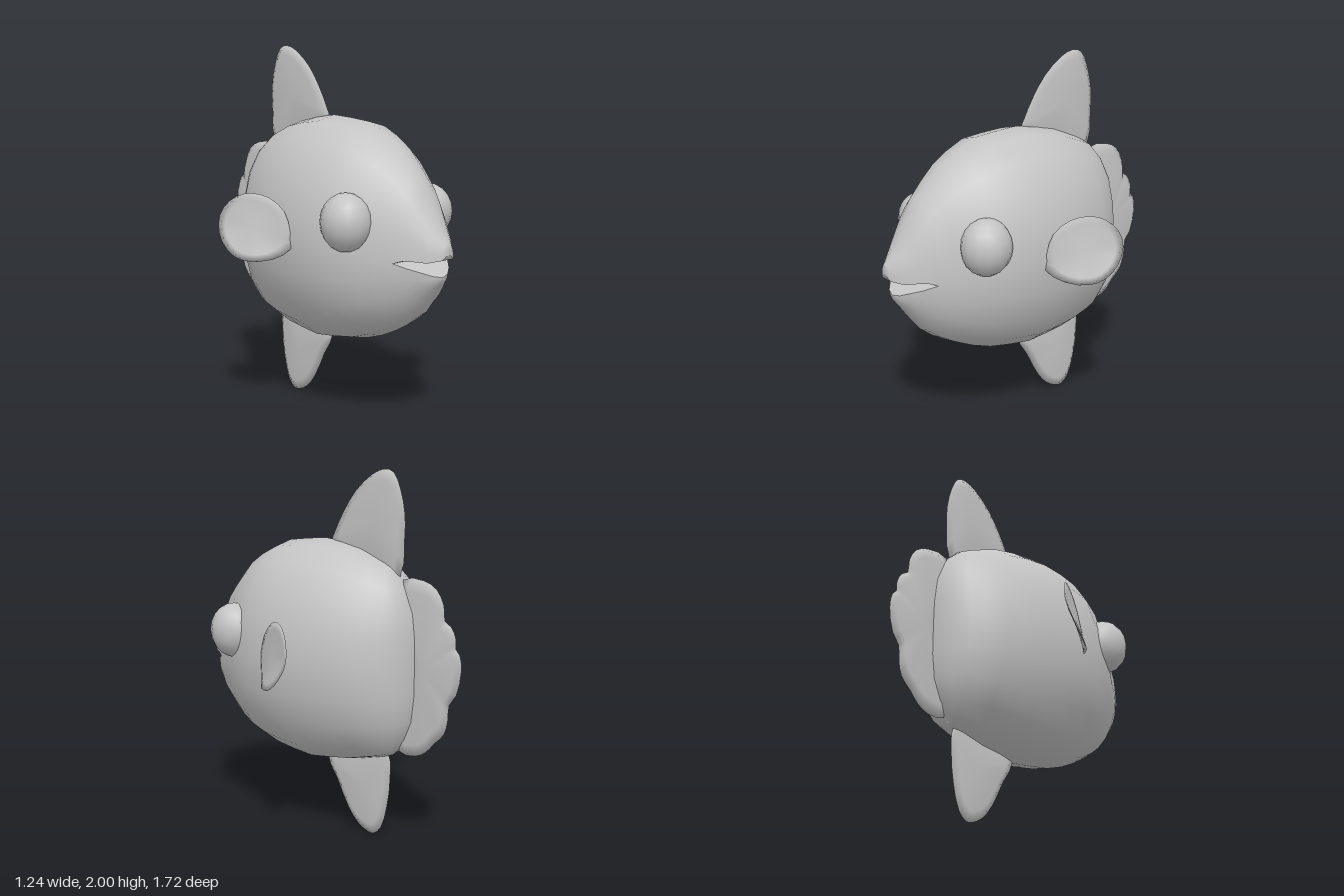
import * as THREE from 'three';
import { mergeVertices, mergeGeometries } from 'three/addons/utils/BufferGeometryUtils.js';

const SEG = 10;

function indexed(points, index) {
  const g = new THREE.BufferGeometry();
  g.setAttribute('position', new THREE.Float32BufferAttribute(points, 3));
  g.setIndex(index);
  return g;
}

// Skin over rows of points, rows running nose to tail
function skin(rows) {
  const n = rows[0].length, index = [];
  for (let i = 0; i < rows.length - 1; i++) {
    for (let j = 0; j < n - 1; j++) {
      const a = i * n + j, b = a + n;
      index.push(a, b, a + 1, b, b + 1, a + 1);
    }
  }
  return indexed(rows.flat(2), index);
}

// Half of an elliptical ring; bulge pulls its crown forward in z
function halfRing(z, mid, width, edge, bulge, from) {
  return Array.from({ length: SEG + 1 }, (_, j) => {
    const t = from + Math.PI * j / SEG, s = Math.sin(t);
    return [width * Math.cos(t), mid + Math.abs(edge - mid) * s, z + bulge * s ** 4];
  });
}

// Flat strip closing the open side of a jaw
function jawPlate(rings) {
  return skin(rings.map(([z, mid, w]) => [[-w, mid, z], [0, mid, z], [w, mid, z]]));
}

// Lens-shaped fin from a side outline of [z, y], thickest inside its rim
function fin(outline, center, half, inset = 0.8) {
  const curve = new THREE.CatmullRomCurve3(
    outline.map(([z, y]) => new THREE.Vector3(0, y, z)), true, 'centripetal');
  const rim = curve.getPoints(outline.length * 2).slice(0, -1);
  const n = rim.length, pts = [], index = [];
  const [cz, cy] = center;
  rim.forEach(p => pts.push(0, p.y, p.z));
  for (const s of [1, -1]) {
    rim.forEach(p => pts.push(s * half, cy + (p.y - cy) * inset, cz + (p.z - cz) * inset));
  }
  pts.push(half, cy, cz, -half, cy, cz);
  for (let i = 0; i < n; i++) {
    const k = (i + 1) % n;
    [n, 2 * n].forEach((o, side) => {
      const c = 3 * n + side;
      const tris = [[k, i, o + i], [k, o + i, o + k], [c, o + k, o + i]];
      tris.forEach(t => index.push(...(side ? t.reverse() : t)));
    });
  }
  const g = indexed(pts, index);
  g.computeVertexNormals();
  return g;
}

export function createModel() {
  const model = new THREE.Group();
  model.name = 'sunfish';
  const skinGrey = new THREE.MeshStandardMaterial({ color: 0xc4c4c4, side: THREE.DoubleSide });
  skinGrey.name = 'skin grey';
  const add = (name, geometry, parent = model) => {
    const mesh = new THREE.Mesh(geometry, skinGrey);
    mesh.name = name;
    parent.add(mesh);
    return mesh;
  };

  // Body stations: z, middle y, half width, top y, bottom y, bulge
  const trunk = [
    [0.66, 0.915, 0.20, 1.335, 0.61, 0],
    [0.58, 0.93, 0.25, 1.42, 0.55, 0],
    [0.50, 0.95, 0.305, 1.49, 0.505, 0],
    [0.40, 0.97, 0.36, 1.55, 0.46, 0],
    [0.29, 0.99, 0.40, 1.60, 0.425, 0],
    [0.16, 1.0, 0.42, 1.615, 0.405, 0],
    [0.03, 1.0, 0.42, 1.625, 0.39, 0],
    [-0.10, 1.0, 0.405, 1.61, 0.405, 0],
    [-0.22, 1.0, 0.375, 1.585, 0.42, 0],
    [-0.34, 0.99, 0.33, 1.545, 0.445, 0.02],
    [-0.42, 0.98, 0.285, 1.52, 0.46, 0.04],
    [-0.50, 0.98, 0.22, 1.50, 0.475, 0.08],
    [-0.55, 0.97, 0.155, 1.485, 0.48, 0.115],
    [-0.58, 0.97, 0.08, 1.475, 0.49, 0.14],
    [-0.59, 0.97, 0, 1.47, 0.49, 0.145],
  ];
  // Jaw stations: z, lip y, half width, outer y
  const upperJaw = [
    [0.86, 0.965, 0, 1.0], [0.85, 0.935, 0.045, 1.02], [0.80, 0.922, 0.10, 1.09],
    [0.74, 0.928, 0.145, 1.20], [0.70, 0.928, 0.175, 1.27],
  ];
  const lowerJaw = [
    [0.82, 0.84, 0, 0.83], [0.805, 0.85, 0.055, 0.80], [0.77, 0.87, 0.105, 0.755],
    [0.72, 0.89, 0.155, 0.685],
  ];
  const upper = skin([
    ...upperJaw.map(([z, m, w, e]) => halfRing(z, m, w, e, 0, 0)),
    ...trunk.map(([z, m, w, t, , b]) => halfRing(z, m, w, t, b, 0)),
  ]);
  const lower = skin([
    ...lowerJaw.map(([z, m, w, e]) => halfRing(z, m, w, e, 0, Math.PI)),
    ...trunk.map(([z, m, w, , e, b]) => halfRing(z, m, w, e, b, Math.PI)),
  ]);
  const body = mergeVertices(mergeGeometries([upper, lower]), 1e-4);
  body.computeVertexNormals();
  add('body', body);

  // Inside of the mouth
  const roof = jawPlate([...upperJaw, trunk[0]]);
  const floor = jawPlate([...lowerJaw, trunk[0]]);
  floor.setIndex(Array.from(floor.index.array).reverse());
  roof.computeVertexNormals();
  floor.computeVertexNormals();
  add('mouthRoof', roof);
  add('mouthFloor', floor);

  // Upright fins
  add('dorsalFin', fin([
    [-0.01, 1.60], [-0.03, 1.66], [-0.09, 1.77], [-0.17, 1.88], [-0.28, 1.97], [-0.36, 2.0],
    [-0.42, 1.985], [-0.465, 1.90], [-0.495, 1.77], [-0.495, 1.65], [-0.465, 1.43], [-0.25, 1.53],
  ], [-0.32, 1.72], 0.017));
  add('analFin', fin([
    [-0.40, 0.50], [-0.42, 0.35], [-0.40, 0.18], [-0.36, 0.05], [-0.31, 0.003], [-0.27, 0.005],
    [-0.20, 0.04], [-0.13, 0.12], [-0.05, 0.27], [0.02, 0.405], [-0.18, 0.47],
  ], [-0.26, 0.28], 0.017));

  // Scalloped tail
  add('tailFin', fin([
    [-0.49, 1.435], [-0.62, 1.44], [-0.70, 1.40], [-0.745, 1.32], [-0.752, 1.245], [-0.79, 1.22],
    [-0.82, 1.16], [-0.82, 1.11], [-0.845, 1.08], [-0.857, 1.0], [-0.83, 0.87], [-0.788, 0.81],
    [-0.782, 0.73], [-0.76, 0.65], [-0.70, 0.59], [-0.65, 0.535], [-0.58, 0.50], [-0.475, 0.51],
    [-0.50, 0.70], [-0.52, 0.97], [-0.50, 1.25],
  ], [-0.63, 0.97], 0.026, 0.86));

  // Side fins: thin cupped discs sweeping outward and back
  const pectoral = fin([
    [0.14, 0.95], [0.135, 1.04], [0.10, 1.14], [0.02, 1.21], [-0.07, 1.23], [-0.14, 1.21],
    [-0.20, 1.15], [-0.22, 1.06], [-0.18, 0.97], [-0.10, 0.90], [-0.03, 0.88], [0.07, 0.89],
  ], [-0.04, 1.05], 0.004);
  const p = pectoral.attributes.position;
  for (let i = 0; i < p.count; i++) {
    const y = p.getY(i) - 1.04, z = p.getZ(i);
    const twist = y < 0 ? -0.4 * y * Math.min(1, (0.14 - z) * 8) : -0.12 * y;
    p.setX(i, p.getX(i) + 0.415 + (0.14 - z) * 0.555 + twist);
  }
  pectoral.computeVertexNormals();

  // Bulging eyes
  const eye = new THREE.SphereGeometry(1, 14, 10);
  eye.scale(0.13, 0.152, 0.138);
  eye.translate(0.31, 1.11, 0.438);

  for (const [side, sign] of [['left', 1], ['right', -1]]) {
    const half = new THREE.Group();
    half.name = side + 'Side';
    half.scale.x = sign;
    add(side + 'PectoralFin', pectoral, half);
    add(side + 'Eye', eye, half);
    model.add(half);
  }
  return model;
}
